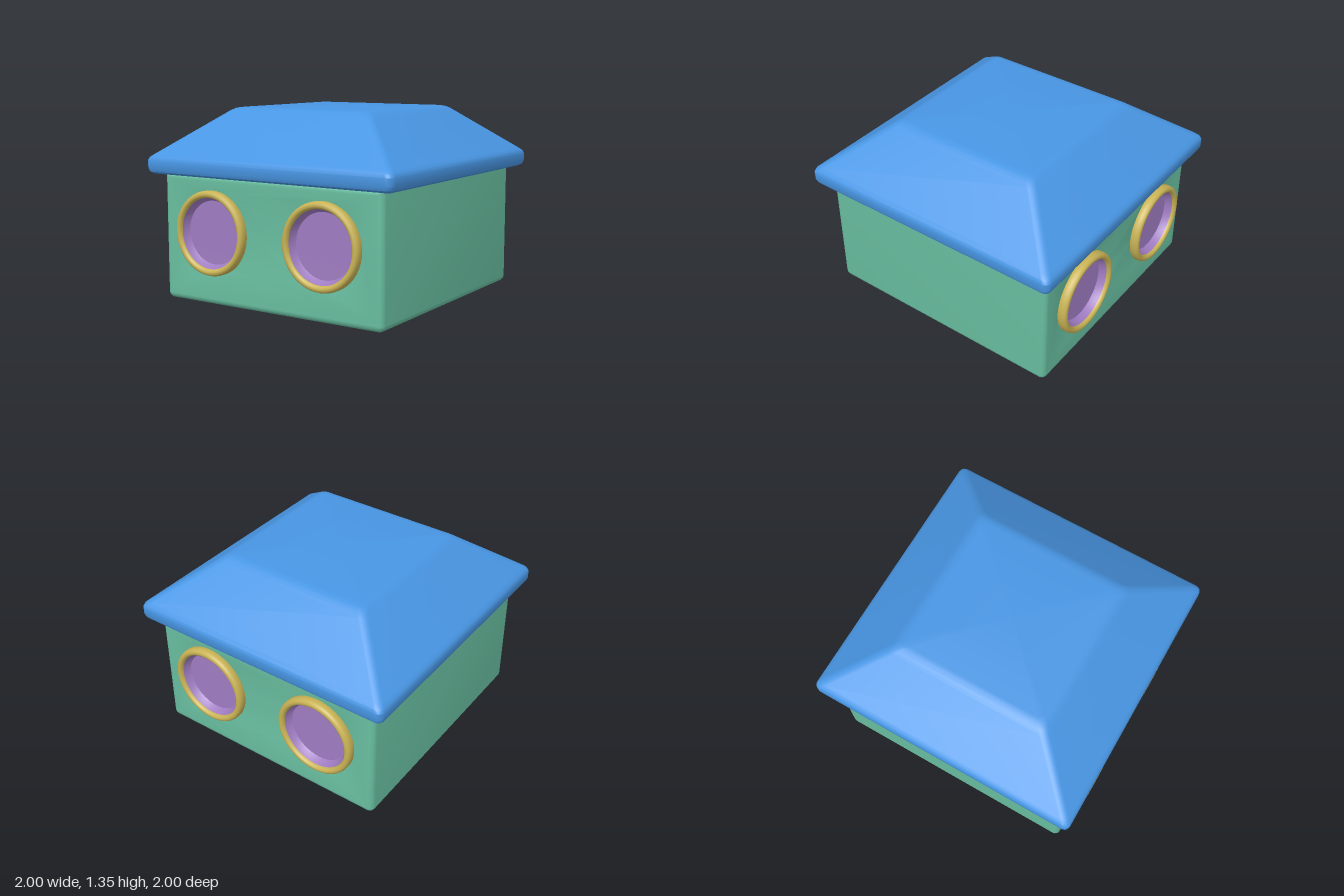
import * as THREE from 'three';
import { toCreasedNormals } from 'three/addons/utils/BufferGeometryUtils.js';

const mat = (name, color, side = THREE.FrontSide) => {
  const m = new THREE.MeshStandardMaterial({ color, side });
  m.name = name;
  return m;
};

function mesh(name, geometry, material) {
  const m = new THREE.Mesh(geometry, material);
  m.name = name;
  return m;
}

const WINDOW_X = [-0.46, 0.452];
const WINDOW_Y = 0.506;

// Rounded box with round window openings in the front and back walls
function wallsGeometry() {
  const x0 = -0.9, x1 = 0.893, y0 = 0, y1 = 0.9, r = 0.045;
  const s = new THREE.Shape();
  s.moveTo(x0 + r, y0);
  s.lineTo(x1 - r, y0);
  s.absarc(x1 - r, y0 + r, r, -Math.PI / 2, 0);
  s.lineTo(x1, y1);
  s.lineTo(x0, y1);
  s.lineTo(x0, y0 + r);
  s.absarc(x0 + r, y0 + r, r, Math.PI, Math.PI * 1.5);
  for (const x of WINDOW_X) {
    const hole = new THREE.Path();
    hole.absarc(x, WINDOW_Y, 0.245, 0, Math.PI * 2, true);
    s.holes.push(hole);
  }
  const g = new THREE.ExtrudeGeometry(s, {
    depth: 1.75, bevelThickness: 0.04, bevelSize: 0.04, bevelOffset: -0.04,
    bevelSegments: 4, curveSegments: 24,
  });
  g.translate(0, 0, -0.875);
  return toCreasedNormals(g, 0.6);
}

// Hipped roof lofted through rounded squares: [half width, height, corner radius]
function roofGeometry() {
  const levels = [
    [0.93, 0.885, 0.02], [0.965, 0.89, 0.03], [0.99, 0.905, 0.04], [1, 0.93, 0.045],
    [1, 0.985, 0.045], [0.99, 1.007, 0.045], [0.965, 1.028, 0.045], [0.61, 1.31, 0.05],
    [0.585, 1.33, 0.05], [0.555, 1.345, 0.045], [0.52, 1.35, 0.04],
  ];
  const steps = 5, n = 4 * (steps + 1);
  const pos = [], idx = [];
  for (const [w, y, r] of levels) {
    for (let c = 0; c < 4; c++) {
      const sx = c === 0 || c === 3 ? 1 : -1, sz = c < 2 ? 1 : -1;
      for (let k = 0; k <= steps; k++) {
        const a = (c + k / steps) * Math.PI / 2;
        pos.push(sx * (w - r) + r * Math.cos(a), y, sz * (w - r) + r * Math.sin(a));
      }
    }
  }
  for (let l = 0; l < levels.length - 1; l++) {
    for (let i = 0; i < n; i++) {
      const a = l * n + i, b = l * n + (i + 1) % n;
      idx.push(a, a + n, b, b, a + n, b + n);
    }
  }
  // Underside and flat top
  const bottom = pos.length / 3, top = bottom + 1, last = (levels.length - 1) * n;
  pos.push(0, levels[0][1], 0, 0, levels[levels.length - 1][1], 0);
  for (let i = 0; i < n; i++) {
    const j = (i + 1) % n;
    idx.push(bottom, i, j, top, last + j, last + i);
  }
  const g = new THREE.BufferGeometry();
  g.setAttribute('position', new THREE.Float32BufferAttribute(pos, 3));
  g.setIndex(idx);
  return toCreasedNormals(g, 0.5);
}

// Turned profile facing +z
function turned(points) {
  const g = new THREE.LatheGeometry(points.map(([r, z]) => new THREE.Vector2(r, z)), 48);
  g.rotateX(Math.PI / 2);
  return toCreasedNormals(g, 0.9);
}

export function createModel() {
  const green = mat('wallGreen', 0x68bea0);
  const blue = mat('roofBlue', 0x4896e4);
  const gold = mat('frameGold', 0xc9b355);
  const purple = mat('windowPurple', 0x9f7cc2, THREE.DoubleSide);

  const group = new THREE.Group();
  group.name = 'house';
  group.add(mesh('walls', wallsGeometry(), green), mesh('roof', roofGeometry(), blue));

  const frame = turned([
    [0.246, 0.9], [0.285, 0.9], [0.295, 0.92], [0.295, 0.95], [0.29, 0.966],
    [0.28, 0.975], [0.265, 0.977], [0.253, 0.97], [0.246, 0.955], [0.246, 0.9],
  ]);
  const pane = turned([[0.247, 0.955], [0.236, 0.925], [0.222, 0.902], [0, 0.9]]);

  // Two round windows on the front, two on the back
  for (const side of ['front', 'back']) {
    const wall = new THREE.Group();
    wall.name = side + 'Windows';
    for (const x of WINDOW_X) {
      const w = new THREE.Group();
      w.name = 'roundWindow';
      w.add(mesh('windowFrame', frame, gold), mesh('windowPane', pane, purple));
      w.position.set(x, WINDOW_Y, 0);
      if (side === 'back') w.rotation.y = Math.PI;
      wall.add(w);
    }
    group.add(wall);
  }
  return group;
}
